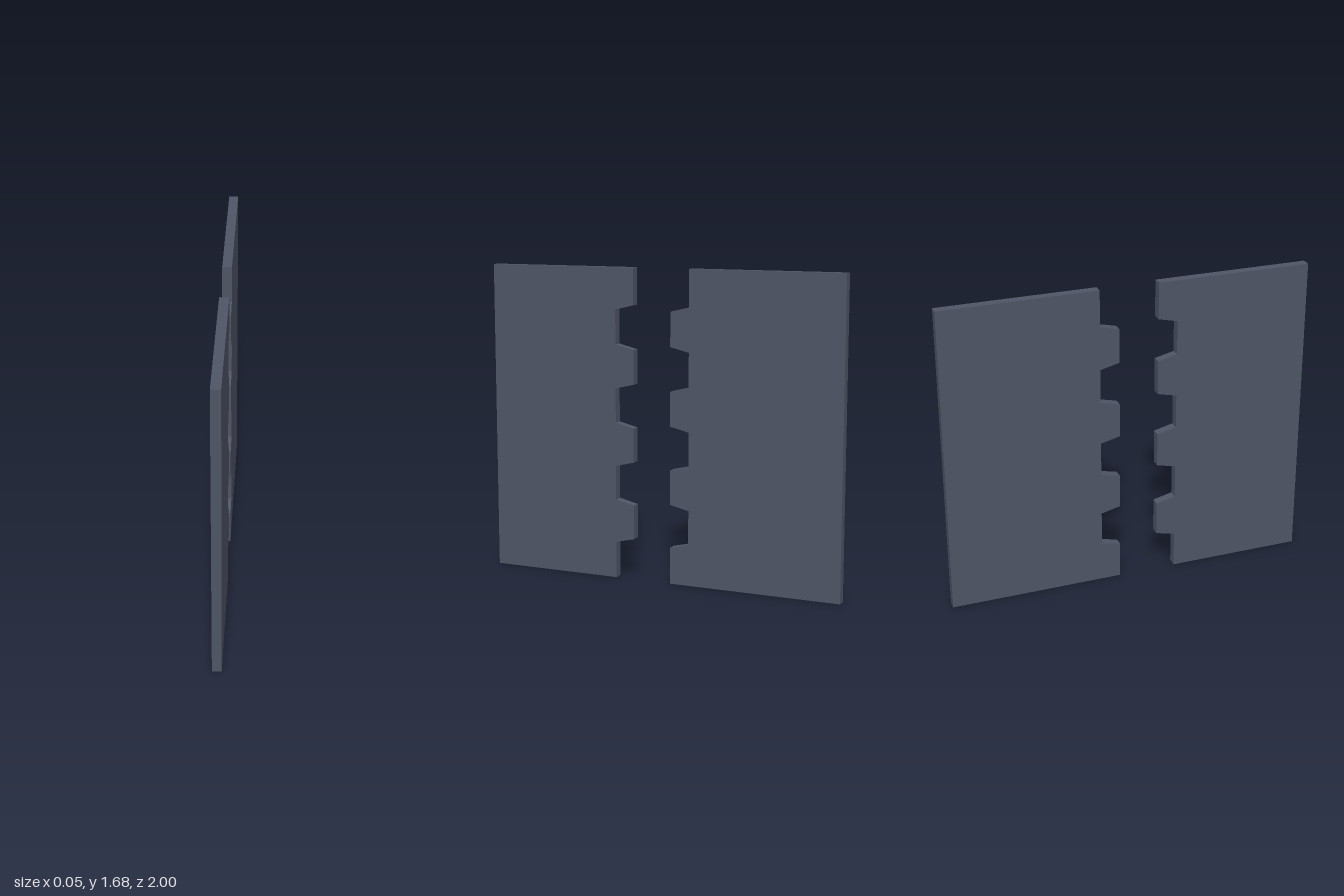
import * as THREE from 'three';

const HEIGHT = 1.685;
const THICKNESS = 0.05;
const STEPS = 8;        // alternating roots and teeth up the seam
const TAPER = 0.0125;   // half the rise of each sloped tooth flank

// Zigzag seam from bottom to top, as [z, y] points
function seam(zHigh, zLow) {
  const points = [];
  const step = HEIGHT / STEPS;
  for (let i = 0; i < STEPS; i++) {
    const z = i % 2 === 0 ? zHigh : zLow;
    points.push([z, i === 0 ? 0 : i * step + TAPER]);
    points.push([z, i === STEPS - 1 ? HEIGHT : (i + 1) * step - TAPER]);
  }
  return points;
}

// Flat panel between a straight outer edge and a toothed inner edge
function panel(name, outerZ, inner, material) {
  const outline = [[outerZ, 0], ...inner, [outerZ, HEIGHT]];
  const shape = new THREE.Shape(outline.map(([z, y]) => new THREE.Vector2(z, y)));
  const geometry = new THREE.ExtrudeGeometry(shape, { depth: THICKNESS, bevelEnabled: false });
  geometry.translate(0, 0, -THICKNESS / 2);
  geometry.rotateY(-Math.PI / 2); // profile x becomes z
  const mesh = new THREE.Mesh(geometry, material);
  mesh.name = name;
  return mesh;
}

export function createModel() {
  const group = new THREE.Group();
  group.name = 'interlockingPanels';
  const material = new THREE.MeshStandardMaterial({ color: 0x4f5566 });

  // Two halves whose matching seams are pulled apart along z
  group.add(panel('frontPanel', 1, seam(0.265, 0.16), material));
  group.add(panel('backPanel', -1, seam(-0.053, -0.158), material));
  return group;
}
